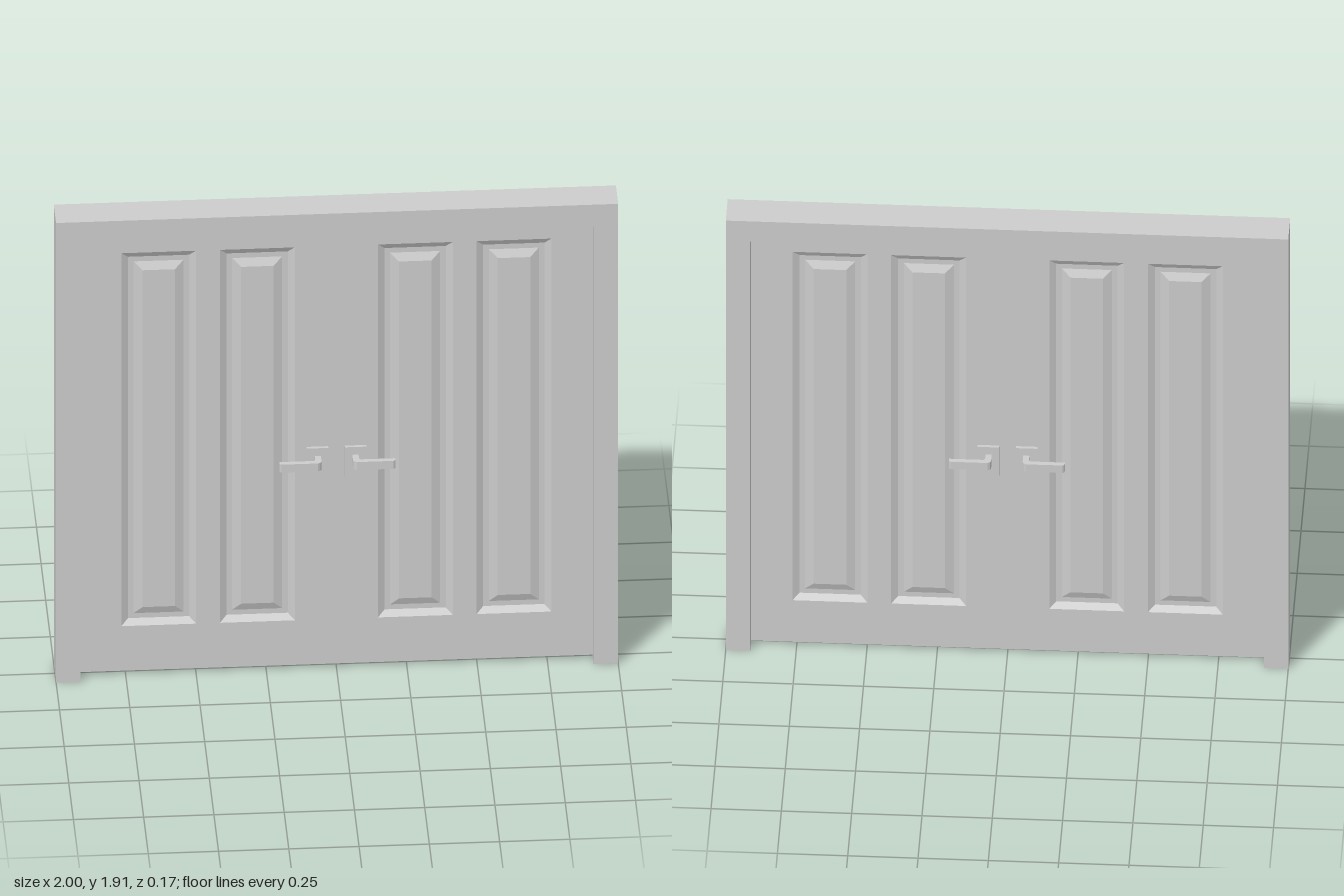
import * as THREE from 'three';

const FRAME_HALF = 0.063;  // half depth of the frame
const LEAF_HALF = 0.022;   // half thickness of the door leaves
const BOTTOM = 0.2, TOP = 1.75, PANEL_W = 0.266;

function polygon(points, Type = THREE.Shape) {
  return new Type(points.map(([x, y]) => new THREE.Vector2(x, y)));
}

function rect(x0, y0, x1, y1) {
  return [[x0, y0], [x1, y0], [x1, y1], [x0, y1]];
}

function extrude(shape, depth) {
  return new THREE.ExtrudeGeometry(shape, { depth, bevelEnabled: false });
}

// Recessed moulding and raised field: nested rectangles at [inset, z]
function panelGeometry(cx) {
  const rings = [[0, 0], [0.024, -0.014], [0.044, -0.014], [0.075, -0.002]].map(([i, z]) =>
    rect(cx - PANEL_W / 2 + i, BOTTOM + i, cx + PANEL_W / 2 - i, TOP - i)
      .map(([x, y]) => [x, y, LEAF_HALF + z]));
  const pos = [];
  const quad = (a, b, c, d) => pos.push(...a, ...b, ...c, ...a, ...c, ...d);
  for (let r = 0; r < rings.length - 1; r++) {
    for (let k = 0; k < 4; k++) {
      const n = (k + 1) % 4;
      quad(rings[r][k], rings[r][n], rings[r + 1][n], rings[r + 1][k]);
    }
  }
  quad(...rings[rings.length - 1]);
  const g = new THREE.BufferGeometry();
  g.setAttribute('position', new THREE.Float32BufferAttribute(pos, 3));
  g.computeVertexNormals();
  return g;
}

export function createModel() {
  const model = new THREE.Group();
  model.name = 'doubleDoor';
  const grey = new THREE.MeshStandardMaterial({ color: 0xcccccc });
  grey.name = 'light grey';

  const add = (parent, name, geometry) => {
    const mesh = new THREE.Mesh(geometry, grey);
    mesh.name = name;
    parent.add(mesh);
    return mesh;
  };

  // Frame: two jambs and a header
  const frame = polygon([[-1, 0], [-0.913, 0], [-0.913, 1.82], [0.913, 1.82],
    [0.913, 0], [1, 0], [1, 1.91], [-1, 1.91]]);
  add(model, 'frame', extrude(frame, FRAME_HALF * 2)).position.z = -FRAME_HALF;

  // Door leaves with openings for the panels
  const centres = [-0.632, -0.281, 0.281, 0.632];
  const leaf = polygon(rect(-0.913, 0.015, 0.913, 1.82));
  for (const cx of centres) {
    leaf.holes.push(polygon(rect(cx - PANEL_W / 2, BOTTOM, cx + PANEL_W / 2, TOP), THREE.Path));
  }
  add(model, 'doorLeaves', extrude(leaf, LEAF_HALF * 2)).position.z = -LEAF_HALF;

  // Panels and handles on both faces
  for (const face of ['front', 'back']) {
    const side = new THREE.Group();
    side.name = face + 'Fittings';
    if (face === 'back') side.rotation.y = Math.PI;
    model.add(side);

    for (const cx of centres) add(side, 'panel', panelGeometry(cx));

    for (const s of [-1, 1]) {
      const handle = new THREE.Group();
      handle.name = s < 0 ? 'rightHandle' : 'leftHandle';
      side.add(handle);
      const plate = add(handle, 'handlePlate', new THREE.BoxGeometry(0.077, 0.128, 0.012));
      plate.position.set(s * 0.068, 0.855, LEAF_HALF + 0.006);

      // Lever in plan: a neck out from the plate, then a bar turned outwards
      const lever = polygon([[0.056, 0.03], [0.056, 0.072], [0.06, 0.08], [0.069, 0.085],
        [0.199, 0.085], [0.206, 0.08], [0.206, 0.067], [0.084, 0.067], [0.078, 0.061],
        [0.078, 0.03]].map(([x, z]) => [s * x, z]));
      const g = extrude(lever, 0.033);
      g.rotateX(Math.PI / 2);
      add(handle, 'handleLever', g).position.y = 0.887;
    }
  }
  return model;
}
